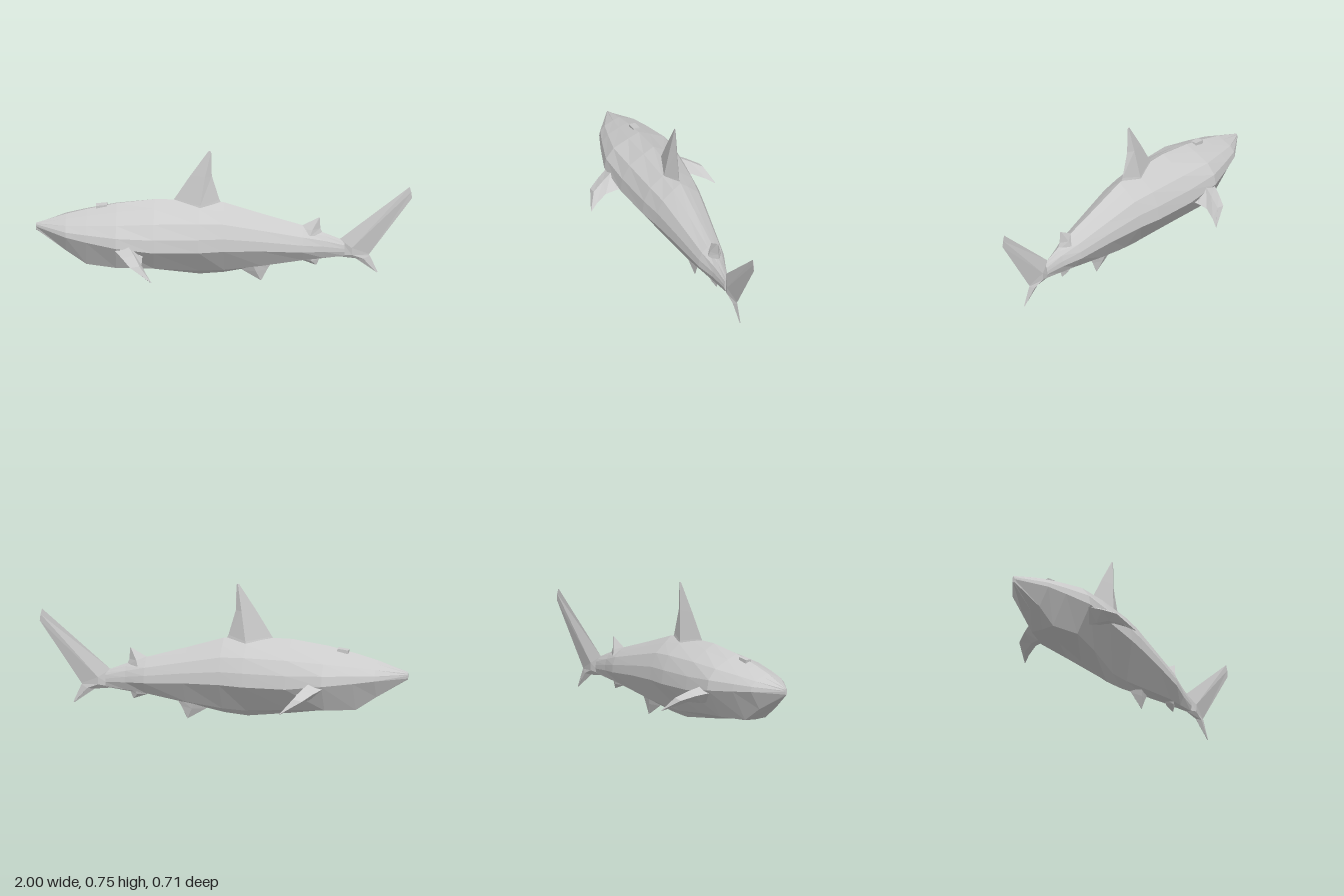
import * as THREE from 'three';

const material = new THREE.MeshStandardMaterial({ color: 0xcccccc, flatShading: true });

// Skin a list of equal-length rings of [x, y, z], closing both ends.
function loft(name, rings) {
  const tris = [];
  const n = rings[0].length;
  const centre = (ring) => [0, 1, 2].map((k) => ring.reduce((s, p) => s + p[k], 0) / n);
  const first = rings[0], last = rings[rings.length - 1];
  const c0 = centre(first), c1 = centre(last);
  for (let j = 0; j < n; j++) {
    const k = (j + 1) % n;
    for (let i = 0; i < rings.length - 1; i++) {
      const a = rings[i], b = rings[i + 1];
      tris.push([a[j], b[j], b[k]], [a[j], b[k], a[k]]);
    }
    tris.push([c0, first[j], first[k]], [c1, last[k], last[j]]);
  }
  // Turn the faces outwards whichever way the rings run
  const vec = (p) => new THREE.Vector3(...p);
  const volume = tris.reduce((s, [a, b, c]) => s + vec(a).dot(vec(b).cross(vec(c))), 0);
  if (volume < 0) tris.forEach((t) => t.reverse());
  const geometry = new THREE.BufferGeometry();
  geometry.setAttribute('position', new THREE.Float32BufferAttribute(tris.flat(2), 3));
  geometry.computeVertexNormals();
  const mesh = new THREE.Mesh(geometry, material);
  mesh.name = name;
  return mesh;
}

// Upright fin with diamond sections: [lead x, y, mid x, y, trail x, y, half thickness]
function uprightFin(name, sections) {
  return loft(name, sections.map(([lx, ly, mx, my, tx, ty, t]) => [
    [lx, ly, 0], [mx, my, t], [tx, ty, 0], [mx, my, -t],
  ]));
}

// Body station: x, top y, ridge y, bottom y, half width, lower corner width share, lower corner y
function bodyRing([x, top, ridge, bottom, w, share, cornerY]) {
  const up = (f) => ridge + (top - ridge) * f;
  const half = [
    [w * 0.3, up(0.86)], [w * 0.73, up(0.63)], [w * 0.95, up(0.31)],
    [w, ridge], [w * share, cornerY],
  ];
  return [
    [x, top, 0],
    ...half.map(([z, y]) => [x, y, z]),
    [x, bottom, 0],
    ...half.reverse().map(([z, y]) => [x, y, -z]),
  ];
}

export function createModel() {
  const group = new THREE.Group();
  group.name = 'shark';

  // Body from snout to tail stalk
  group.add(loft('body', [
    [-1.0, 0.32, 0.3, 0.28, 0.006, 0.7, 0.285],
    [-0.84, 0.375, 0.288, 0.182, 0.115, 0.5, 0.188],
    [-0.73, 0.405, 0.278, 0.11, 0.153, 0.45, 0.114],
    [-0.57, 0.441, 0.265, 0.09, 0.2, 0.58, 0.115],
    [-0.37, 0.468, 0.237, 0.062, 0.19, 0.46, 0.1],
    [-0.13, 0.468, 0.23, 0.034, 0.165, 0.25, 0.07],
    [0.0, 0.455, 0.23, 0.046, 0.142, 0.28, 0.076],
    [0.2, 0.392, 0.22, 0.086, 0.11, 0.35, 0.102],
    [0.42, 0.326, 0.2, 0.125, 0.075, 0.4, 0.135],
    [0.53, 0.285, 0.19, 0.135, 0.04, 0.5, 0.145],
    [0.64, 0.24, 0.18, 0.15, 0.018, 0.6, 0.155],
  ].map(bodyRing)));

  // Main back fin
  group.add(uprightFin('dorsalFin', [
    [-0.28, 0.45, -0.13, 0.425, -0.01, 0.44, 0.046],
    [-0.262, 0.475, -0.125, 0.45, -0.025, 0.472, 0.041],
    [-0.18, 0.608, -0.1, 0.61, -0.065, 0.61, 0.021],
    [-0.083, 0.753, -0.076, 0.755, -0.068, 0.75, 0.002],
  ]));

  // Small rear fins on the centre line
  group.add(uprightFin('secondDorsalFin', [
    [0.39, 0.31, 0.46, 0.28, 0.53, 0.27, 0.038],
    [0.42, 0.328, 0.47, 0.31, 0.512, 0.31, 0.028],
    [0.5, 0.371, 0.505, 0.373, 0.51, 0.371, 0.002],
  ]));
  group.add(uprightFin('analFin', [
    [0.38, 0.14, 0.45, 0.17, 0.53, 0.17, 0.034],
    [0.42, 0.12, 0.465, 0.125, 0.505, 0.13, 0.022],
    [0.484, 0.097, 0.488, 0.096, 0.493, 0.098, 0.002],
  ]));
  group.add(uprightFin('bellyFin', [
    [0.06, 0.09, 0.15, 0.12, 0.27, 0.13, 0.035],
    [0.1, 0.058, 0.17, 0.06, 0.23, 0.066, 0.02],
    [0.19, 0.004, 0.196, 0, 0.202, 0.008, 0.002],
  ]));

  // Tail: one blade from the upper tip, past the notch, to the lower tip
  group.add(uprightFin('tailFin', [
    [0.987, 0.56, 0.995, 0.53, 1.0, 0.495, 0.002],
    [0.615, 0.248, 0.68, 0.205, 0.772, 0.163, 0.02],
    [0.59, 0.149, 0.68, 0.165, 0.771, 0.158, 0.019],
    [0.7, 0.136, 0.74, 0.14, 0.775, 0.152, 0.012],
    [0.81, 0.056, 0.813, 0.055, 0.816, 0.06, 0.002],
  ]));

  // Side fins: z, lead x, y, mid x, upper y, lower y, trail x, y
  const sideFin = [
    [0.13, -0.6, 0.235, -0.51, 0.275, 0.185, -0.42, 0.215],
    [0.19, -0.575, 0.25, -0.5, 0.276, 0.185, -0.43, 0.205],
    [0.25, -0.535, 0.235, -0.47, 0.253, 0.195, -0.43, 0.195],
    [0.315, -0.49, 0.21, -0.44, 0.22, 0.172, -0.4, 0.168],
    [0.357, -0.38, 0.147, -0.377, 0.148, 0.143, -0.374, 0.143],
  ];
  for (const [name, side] of [['leftPectoralFin', 1], ['rightPectoralFin', -1]]) {
    group.add(loft(name, sideFin.map(([z, lx, ly, mx, upper, lower, tx, ty]) => [
      [lx, ly, z * side], [mx, upper, z * side], [tx, ty, z * side], [mx, lower, z * side],
    ])));
  }

  // Small raised plate on the head
  const plate = new THREE.Mesh(new THREE.BoxGeometry(0.06, 0.025, 0.035), material);
  plate.name = 'headPlate';
  plate.position.set(-0.65, 0.418, -0.008);
  plate.rotation.z = 0.12;
  group.add(plate);

  return group;
}
